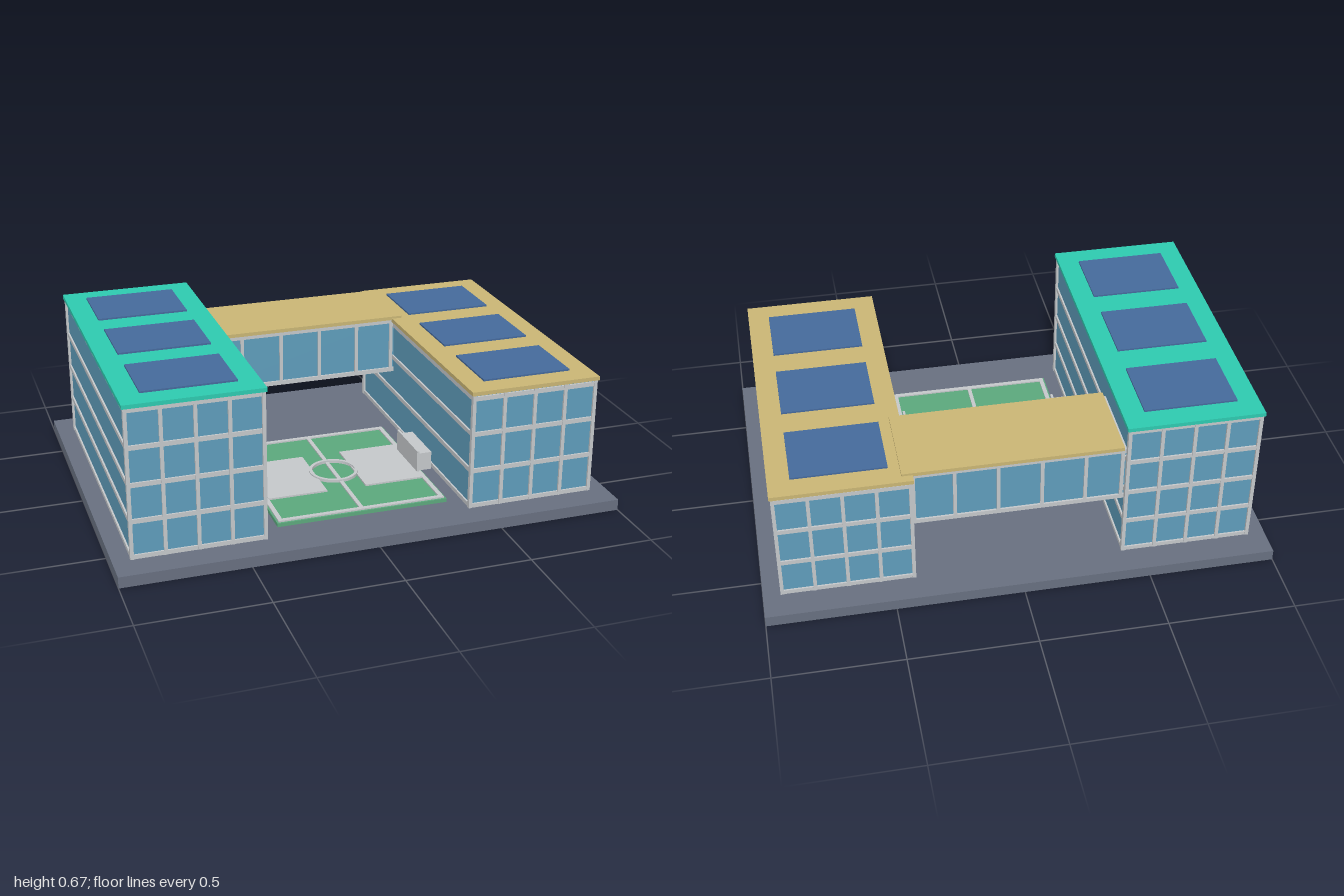
import * as THREE from 'three';

const mat = (name, color) => Object.assign(new THREE.MeshStandardMaterial({ color }), { name });

export function createModel() {
  const stone = mat('slate paving', 0x687080);
  const glass = mat('blue glass', 0x5f9dbb);
  const frame = mat('light grey frame', 0xc5c8cb);
  const teal = mat('teal roof', 0x2ecbb0);
  const tan = mat('tan roof', 0xcab675);
  const solar = mat('solar blue', 0x456a9c);
  const grass = mat('pitch green', 0x5ca87d);

  const model = new THREE.Group();
  model.name = 'campus';

  const group = (name) => {
    const g = new THREE.Group();
    g.name = name;
    model.add(g);
    return g;
  };

  // Box given by its limits on each axis
  const box = (parent, name, material, x0, x1, y0, y1, z0, z1) => {
    const mesh = new THREE.Mesh(new THREE.BoxGeometry(x1 - x0, y1 - y0, z1 - z0), material);
    mesh.position.set((x0 + x1) / 2, (y0 + y1) / 2, (z0 + z1) / 2);
    mesh.name = name;
    parent.add(mesh);
  };

  const ground = 0.045;
  box(model, 'base', stone, -1, 1, 0, ground, -0.735, 0.735);

  // Three-storey wings with floor bands, mullions on the end walls and solar panels
  const wing = (name, side, top, roofMat, bands) => {
    const g = group(name);
    const cx = side * 0.67;
    box(g, 'glassBody', glass, cx - 0.253, cx + 0.253, ground, top, -0.614, 0.614);
    for (const y of bands)
      box(g, 'floorBand', frame, cx - 0.26, cx + 0.26, y - 0.009, y + 0.009, -0.621, 0.621);
    for (let i = 0; i < 5; i++) {
      const x = cx + (i - 2) * 0.1275;
      for (const end of [-1, 1])
        box(g, 'mullion', frame, x - 0.007, x + 0.007, ground, top, end * 0.614 - 0.009, end * 0.614 + 0.009);
    }
    box(g, 'roof', roofMat, cx - 0.267, cx + 0.267, top, top + 0.016, -0.628, 0.628);
    for (const z of [-0.4, 0, 0.398])
      box(g, 'solarPanel', solar, cx - 0.182, cx + 0.182, top + 0.016, top + 0.023, z - 0.138, z + 0.138);
  };
  wing('tallWing', -1, 0.645, teal, [0.053, 0.198, 0.343, 0.49, 0.636]);
  wing('lowWing', 1, 0.521, tan, [0.053, 0.203, 0.357, 0.505]);

  // Raised bridge between the wings
  const bridge = group('bridge');
  box(bridge, 'glassBody', glass, -0.42, 0.42, 0.3, 0.53, -0.58, -0.255);
  box(bridge, 'lowerBand', frame, -0.42, 0.42, 0.292, 0.31, -0.588, -0.247);
  box(bridge, 'upperBand', frame, -0.42, 0.42, 0.514, 0.531, -0.588, -0.247);
  for (const x of [-0.402, -0.26, -0.091, 0.078, 0.245, 0.402])
    for (const z of [-0.58, -0.255])
      box(bridge, 'mullion', frame, x - 0.007, x + 0.007, 0.3, 0.53, z - 0.008, z + 0.008);
  box(bridge, 'roof', tan, -0.405, 0.445, 0.531, 0.546, -0.595, -0.24);

  // Sports pitch with raised markings
  const pitch = group('pitch');
  const cz = 0.176;
  const y0 = 0.058, y1 = 0.066;
  box(pitch, 'turf', grass, -0.347, 0.347, ground, 0.06, cz - 0.366, cz + 0.366);
  for (const s of [-1, 1]) {
    box(pitch, 'sideLine', frame, s * 0.331 - 0.009, s * 0.331 + 0.009, y0, y1, cz - 0.358, cz + 0.358);
    box(pitch, 'endLine', frame, -0.34, 0.34, y0, y1, cz + s * 0.349 - 0.009, cz + s * 0.349 + 0.009);
    box(pitch, 'goalArea', frame, s * 0.202 - 0.121, s * 0.202 + 0.121, y0, y1 + 0.001, cz - 0.165, cz + 0.165);
  }
  box(pitch, 'halfwayLine', frame, -0.008, 0.008, y0, y1, cz - 0.35, cz + 0.35);

  // Centre circle
  const ring = new THREE.Shape().absarc(0, 0, 0.1, 0, Math.PI * 2);
  ring.holes.push(new THREE.Path().absarc(0, 0, 0.087, 0, Math.PI * 2, true));
  const circle = new THREE.Mesh(
    new THREE.ExtrudeGeometry(ring, { depth: 0.012, bevelEnabled: false, curveSegments: 24 }), frame);
  circle.name = 'centreCircle';
  circle.rotation.x = -Math.PI / 2;
  circle.position.set(0, 0.06, cz);
  pitch.add(circle);

  // Goals: a box behind an upright front board
  for (const s of [-1, 1]) {
    const g = group(s < 0 ? 'rightGoal' : 'leftGoal');
    box(g, 'goalBox', frame, s * 0.355 - 0.03, s * 0.355 + 0.03, 0.066, 0.142, cz - 0.106, cz + 0.106);
    box(g, 'goalFront', frame, s * 0.325 - 0.005, s * 0.325 + 0.005, 0.06, 0.156, cz - 0.114, cz + 0.114);
  }

  return model;
}
